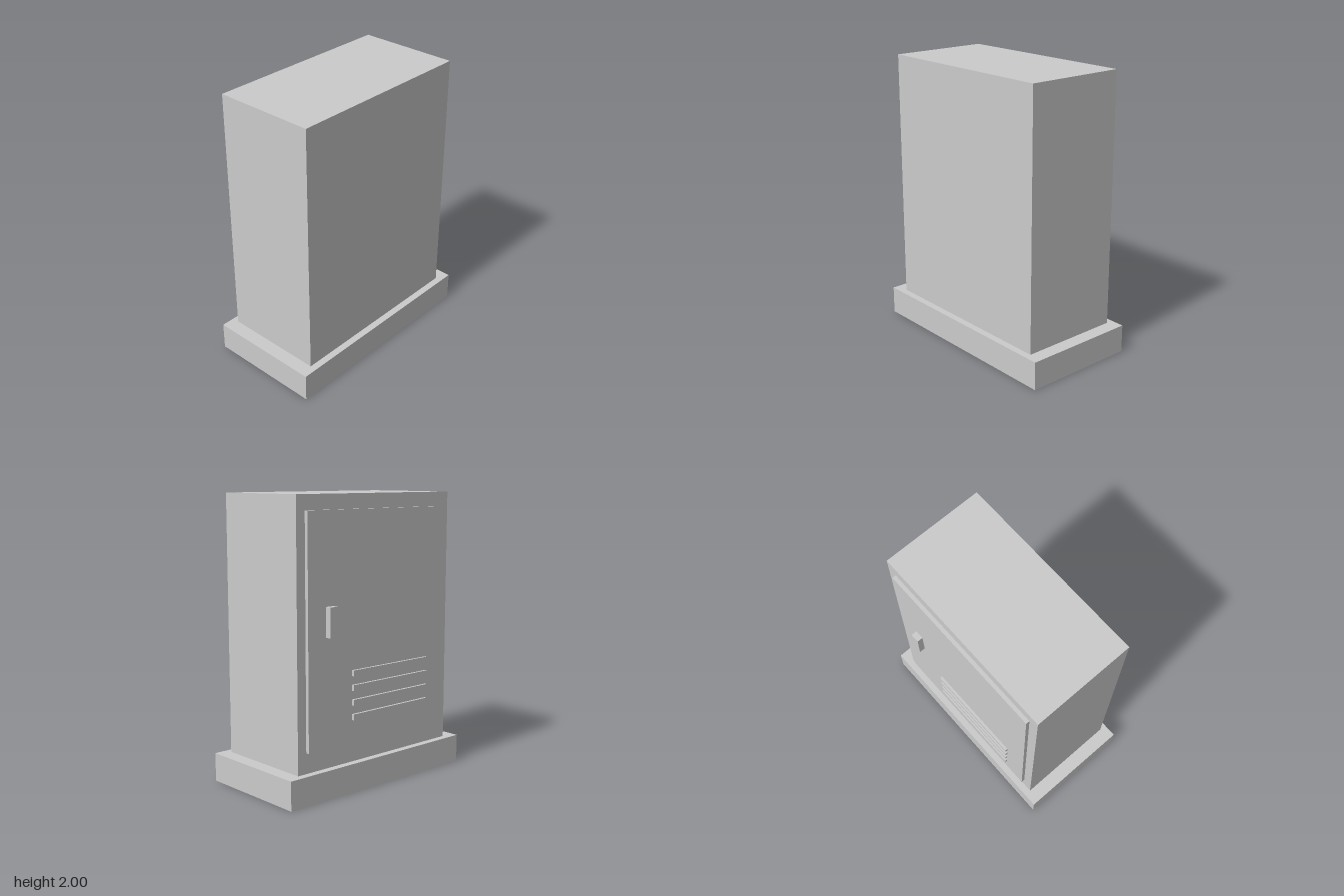
import * as THREE from 'three';

const material = new THREE.MeshStandardMaterial({ color: 0xcccccc, flatShading: true });

// Box given by its [min, max] extents on each axis
function box(name, [x0, x1], [y0, y1], [z0, z1]) {
  const mesh = new THREE.Mesh(new THREE.BoxGeometry(x1 - x0, y1 - y0, z1 - z0), material);
  mesh.name = name;
  mesh.position.set((x0 + x1) / 2, (y0 + y1) / 2, (z0 + z1) / 2);
  return mesh;
}

export function createModel() {
  const cabinet = new THREE.Group();
  cabinet.name = 'utilityCabinet';

  // Plinth and housing
  cabinet.add(box('plinth', [-0.8, 0.8], [0, 0.2], [-0.407, 0.425]));
  cabinet.add(box('housing', [-0.7, 0.7], [0.2, 2], [-0.357, 0.375]));

  // Door on the back, with its handle
  const doorFace = -0.383;
  cabinet.add(box('door', [-0.63, 0.63], [0.34, 1.9], [doorFace, -0.357]));
  cabinet.add(box('handle', [0.415, 0.48], [1.085, 1.285], [-0.425, doorFace]));

  // Ventilation slats low on the door
  const vents = new THREE.Group();
  vents.name = 'ventSlats';
  for (let i = 0; i < 4; i++) {
    const y = 0.5 + i * 0.1;
    vents.add(box(`ventSlat${i + 1}`, [-0.465, 0.25], [y, y + 0.04], [-0.401, doorFace]));
  }
  cabinet.add(vents);

  return cabinet;
}
